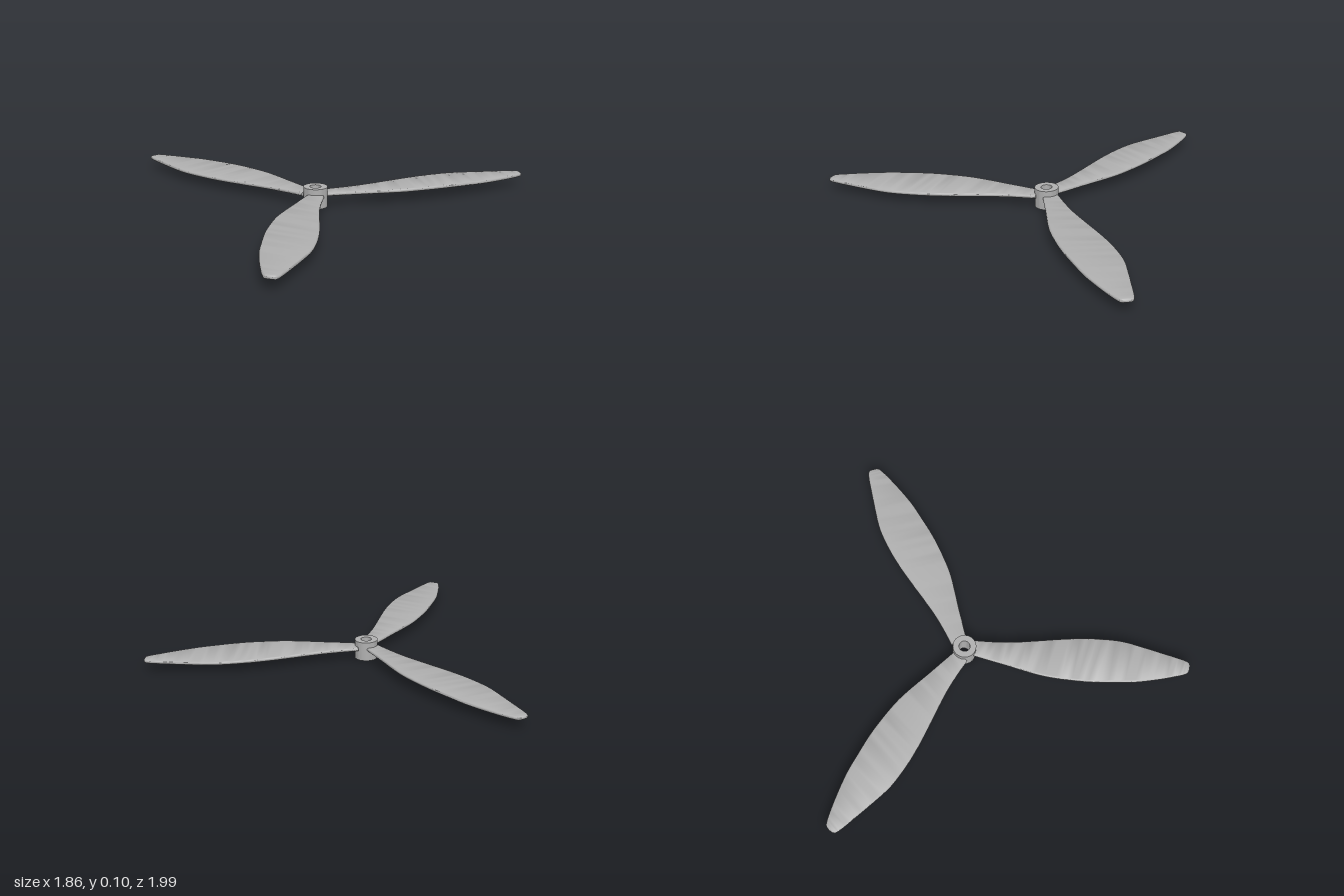
import * as THREE from 'three';
import { toCreasedNormals } from 'three/addons/utils/BufferGeometryUtils.js';

const HUB = { x: 0.205, z: 0.074 };

// Blade stations: distance from the hub axis, leading edge, trailing edge
const STATIONS = [
  [0.04, -0.026, 0.056], [0.13, -0.034, 0.07], [0.23, -0.042, 0.091], [0.33, -0.052, 0.12],
  [0.43, -0.058, 0.151], [0.54, -0.051, 0.183], [0.65, -0.037, 0.207], [0.78, -0.009, 0.222],
  [0.88, 0.016, 0.216], [0.995, 0.058, 0.204], [1.07, 0.09, 0.196], [1.115, 0.112, 0.189],
  [1.132, 0.124, 0.182], [1.138, 0.136, 0.172],
];

// Thin plate section with round edges, as [side, cos, sin] going over the top and back below
function section() {
  const ring = [];
  for (const side of [1, -1]) {
    for (let k = 0; k <= 6; k++) {
      const a = -Math.PI / 2 + (k / 6) * Math.PI;
      ring.push([side, side * Math.cos(a), side * Math.sin(a)]);
    }
  }
  return ring;
}

function bladeGeometry() {
  const curve = new THREE.CatmullRomCurve3(STATIONS.map(s => new THREE.Vector3(...s)), false, 'centripetal');
  const ring = section(), n = ring.length, steps = 52;
  const pos = [], index = [];
  for (let i = 0; i <= steps; i++) {
    const { x: r, y: lead, z: trail } = curve.getPoint(i / steps);
    const half = 0.0095 * Math.sqrt(Math.max(0.2, Math.min(1, (1.142 - r) / 0.012)));
    const twist = 0.005 * Math.sin(Math.PI * Math.min(1, r / 1.1));
    const mid = 0.061 - 0.005 * THREE.MathUtils.smoothstep(r, 0.6, 1.1);
    const c = (lead + trail) / 2, w = (trail - lead) / 2 - half;
    for (const [side, cos, sin] of ring) {
      pos.push(-r, mid - side * twist + half * sin, c + side * w + half * cos);
    }
  }
  for (let i = 0; i < steps; i++) {
    for (let j = 0; j < n; j++) {
      const a = i * n + j, b = i * n + (j + 1) % n;
      index.push(a, b, a + n, b, b + n, a + n);
    }
  }
  // Close the root and the tip
  const root = pos.length / 3, tip = root + 1, last = steps * n;
  pos.push(-0.04, 0.061, 0.015, -1.14, 0.056, 0.154);
  for (let j = 0; j < n; j++) {
    const k = (j + 1) % n;
    index.push(k, j, root, last + j, last + k, tip);
  }
  const g = new THREE.BufferGeometry();
  g.setAttribute('position', new THREE.Float32BufferAttribute(pos, 3));
  g.setIndex(index);
  return toCreasedNormals(g, 0.9);
}

export function createModel() {
  const model = new THREE.Group();
  model.name = 'propeller';
  const grey = new THREE.MeshStandardMaterial({ color: 0xb0b0b0 });
  grey.name = 'grey';

  const rotor = new THREE.Group();
  rotor.name = 'rotor';
  rotor.position.set(HUB.x, 0, HUB.z);
  model.add(rotor);

  // Hub sleeve with a shaft hole
  const profile = [[0.06, 0], [0.06, 0.1], [0.028, 0.1], [0.028, 0], [0.06, 0]]
    .map(p => new THREE.Vector2(...p));
  const hub = new THREE.Mesh(toCreasedNormals(new THREE.LatheGeometry(profile, 48), 0.6), grey);
  hub.name = 'hub';
  rotor.add(hub);

  // Three equal blades
  const geometry = bladeGeometry();
  for (let i = 0; i < 3; i++) {
    const blade = new THREE.Mesh(geometry, grey);
    blade.name = 'blade' + (i + 1);
    blade.rotation.y = (i * Math.PI * 2) / 3;
    rotor.add(blade);
  }
  return model;
}
